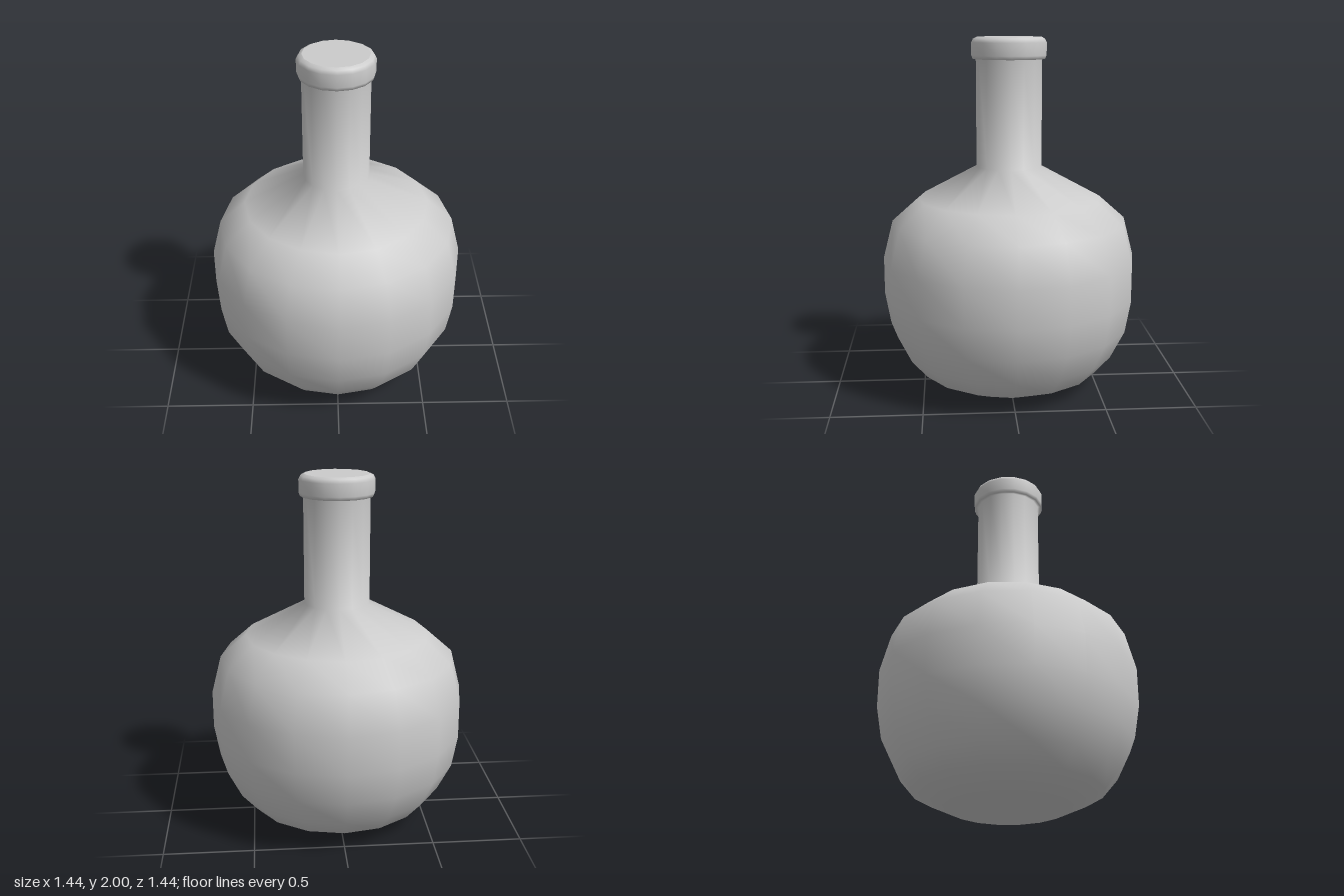
import * as THREE from 'three';

const SIDES = 16;

export function createModel() {
  const model = new THREE.Group();
  const material = new THREE.MeshStandardMaterial({ color: 0xcccccc, side: THREE.DoubleSide });

  // Turns a [radius, height] profile around the y axis
  const turn = (name, profile) => {
    const points = profile.map(([r, y]) => new THREE.Vector2(r, y));
    const mesh = new THREE.Mesh(new THREE.LatheGeometry(points, SIDES), material);
    mesh.name = name;
    model.add(mesh);
  };

  // Round belly, shoulder, neck and rolled lip in one smooth skin
  turn('bottleBody', [
    [0, 0], [0.31, 0], [0.52, 0.095], [0.61, 0.2], [0.69, 0.36],
    [0.722, 0.54], [0.722, 0.755], [0.667, 0.97], [0.52, 1.1],
    [0.185, 1.28], [0.185, 1.88],
    [0.203, 1.88], [0.21, 1.9], [0.21, 1.97], [0.2, 1.99], [0.18, 2],
  ]);

  // Flat closure of the mouth
  turn('mouthCap', [[0.18, 2], [0, 2]]);

  return model;
}
